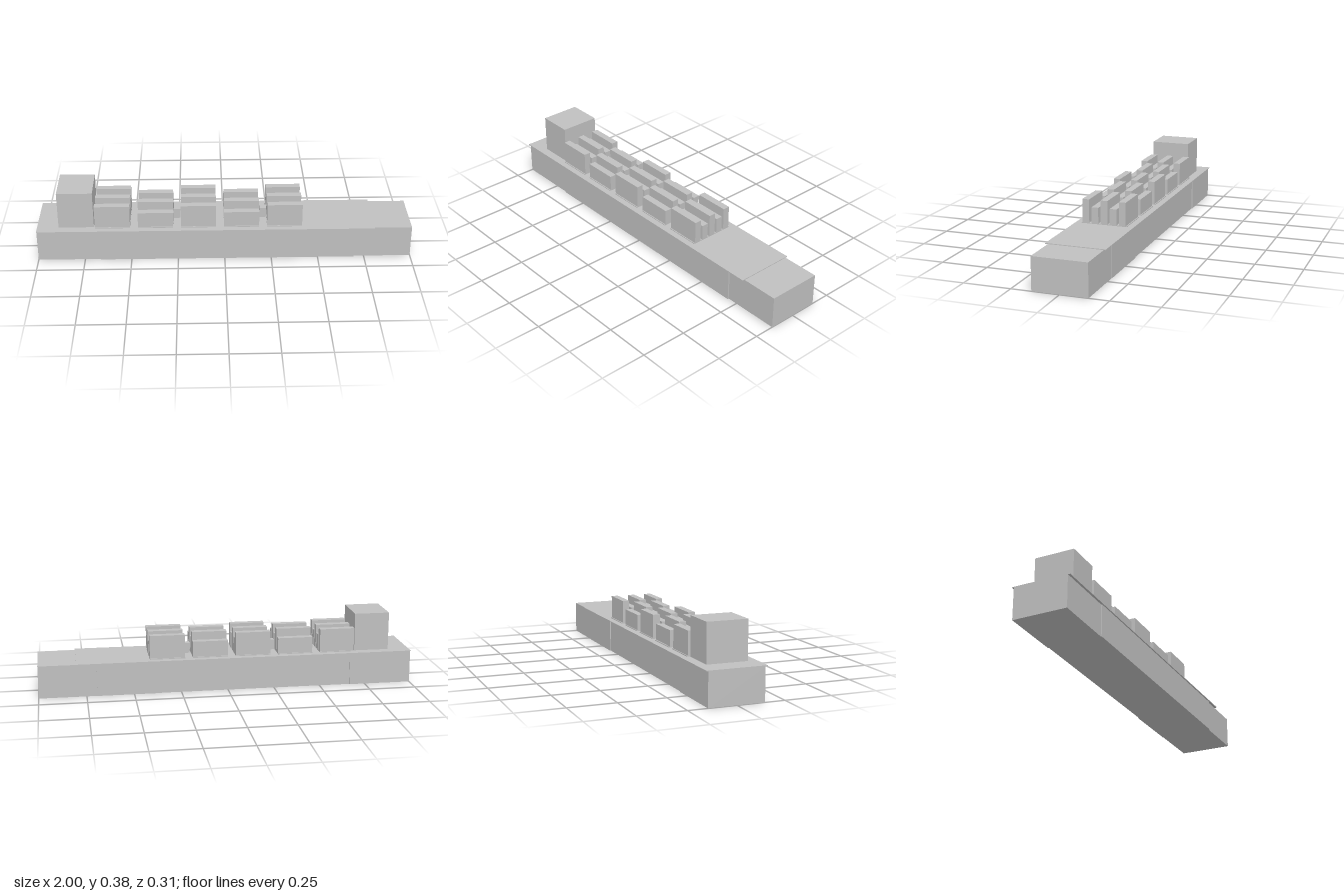
import * as THREE from 'three';

export function createModel() {
  const ship = new THREE.Group();
  ship.name = 'cargoShip';
  const grey = new THREE.MeshStandardMaterial({ color: 0xbfbfbf });
  grey.name = 'plainGrey';

  // Box given by its lower and upper limits on each axis
  function block(name, [x0, x1], [y0, y1], [z0, z1], parent = ship) {
    const mesh = new THREE.Mesh(new THREE.BoxGeometry(x1 - x0, y1 - y0, z1 - z0), grey);
    mesh.position.set((x0 + x1) / 2, (y0 + y1) / 2, (z0 + z1) / 2);
    mesh.name = name;
    parent.add(mesh);
    return mesh;
  }

  // Hull in sections with small steps where they meet
  const hull = [0, 0.174];
  block('sternHull', [-1, -0.665], hull, [-0.148, 0.145]);
  block('middleHull', [-0.665, 0.355], hull, [-0.143, 0.15]);
  block('foreHull', [0.355, 0.695], hull, [-0.148, 0.15]);
  block('bowHull', [0.695, 1], hull, [-0.146, 0.143]);

  // Thin overhanging deck, stopping short of the bow
  block('deck', [-1, 0.8], [0.174, 0.178], [-0.157, 0.157]);

  // Bridge house at the stern
  block('bridgeHouse', [-0.885, -0.697], [0.178, 0.382], [-0.107, 0.109]);

  // Five bays of five stacks, alternating three and two containers high
  const cargo = new THREE.Group();
  cargo.name = 'cargo';
  ship.add(cargo);
  const level = 0.0397, base = 0.186;
  for (let bay = 0; bay < 5; bay++) {
    const x = -0.598 + bay * 0.2295;
    const span = [x - 0.0935, x + 0.0935];
    block('hatchCover', span, [0.178, 0.182], [-0.122, 0.124], cargo);
    for (let row = 0; row < 5; row++) {
      const z = 0.001 + (row - 2) * 0.0495;
      const count = (bay + row) % 2 ? 2 : 3;
      block('stackFoot', span, [0.182, base], [z - 0.0185, z + 0.0185], cargo);
      block('containerStack', span, [base, base + count * level], [z - 0.0185, z + 0.0185], cargo);
    }
  }

  // Crane pedestals in two of the gaps
  for (const x of [-0.254, 0.208]) {
    block('pedestal', [x - 0.018, x + 0.018], [0.178, 0.232], [-0.018, 0.02]);
  }

  return ship;
}
